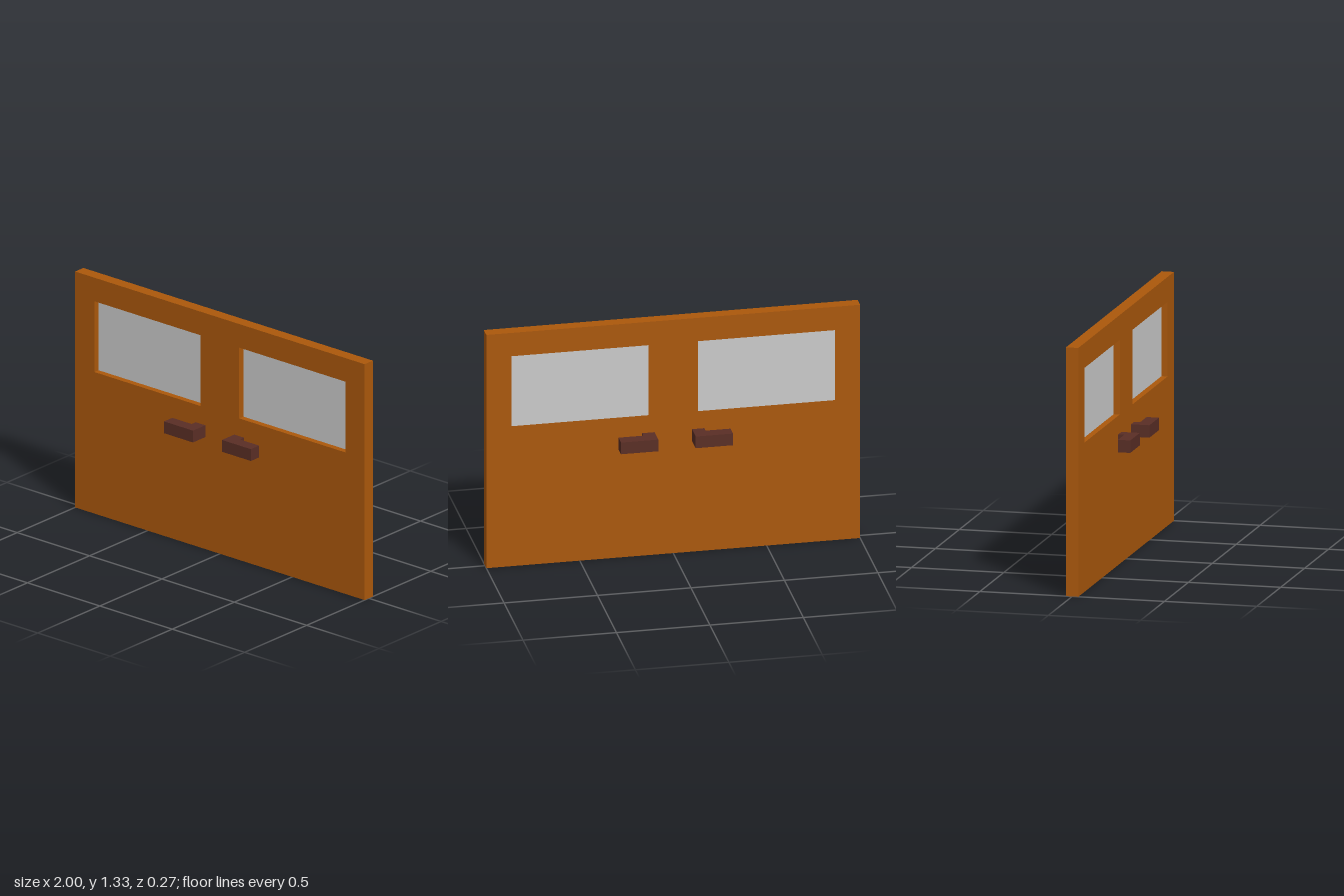
import * as THREE from 'three';

const U = 1 / 15; // module size: the panel is 30 x 20 x 1 units

const wood = new THREE.MeshStandardMaterial({ name: 'wood', color: 0xab580b });
const glass = new THREE.MeshStandardMaterial({ name: 'glass', color: 0xcbcbcb });
const handleBrown = new THREE.MeshStandardMaterial({ name: 'handleBrown', color: 0x5a2e25 });

function polygon(points, Type = THREE.Shape) {
  return new Type(points.map(([x, y]) => new THREE.Vector2(x * U, y * U)));
}

function add(parent, name, geometry, material) {
  const mesh = new THREE.Mesh(geometry, material);
  mesh.name = name;
  parent.add(mesh);
  return mesh;
}

export function createModel() {
  const model = new THREE.Group();
  model.name = 'doubleDoor';

  // Panel with two window openings
  const outline = polygon([[-15, 0], [15, 0], [15, 20], [-15, 20]]);
  for (const s of [-1, 1]) {
    outline.holes.push(polygon([[2 * s, 12], [13 * s, 12], [13 * s, 18], [2 * s, 18]], THREE.Path));
  }
  const panel = new THREE.ExtrudeGeometry(outline, { depth: U, bevelEnabled: false });
  panel.translate(0, 0, -U / 2);
  add(model, 'doorPanel', panel, wood);

  for (const sx of [-1, 1]) {
    const side = sx > 0 ? 'left' : 'right';

    // Glass fills the rear half of its opening, flush with the back
    const pane = add(model, side + 'Window', new THREE.BoxGeometry(11 * U, 6 * U, U / 2), glass);
    pane.position.set(7.5 * U * sx, 15 * U, -U / 4);

    // L-shaped handles on both faces, with the grip pointing outward
    for (const sz of [-1, 1]) {
      const plan = [[1.5, 0.5], [2.5, 0.5], [2.5, 1], [4.5, 1], [4.5, 2], [1.5, 2]];
      const shape = polygon(plan.map(([x, z]) => [x * sx, z * sz]));
      const geometry = new THREE.ExtrudeGeometry(shape, { depth: U, bevelEnabled: false });
      geometry.rotateX(Math.PI / 2);
      const handle = add(model, side + (sz > 0 ? 'Front' : 'Back') + 'Handle', geometry, handleBrown);
      handle.position.y = 10.5 * U;
    }
  }
  return model;
}
